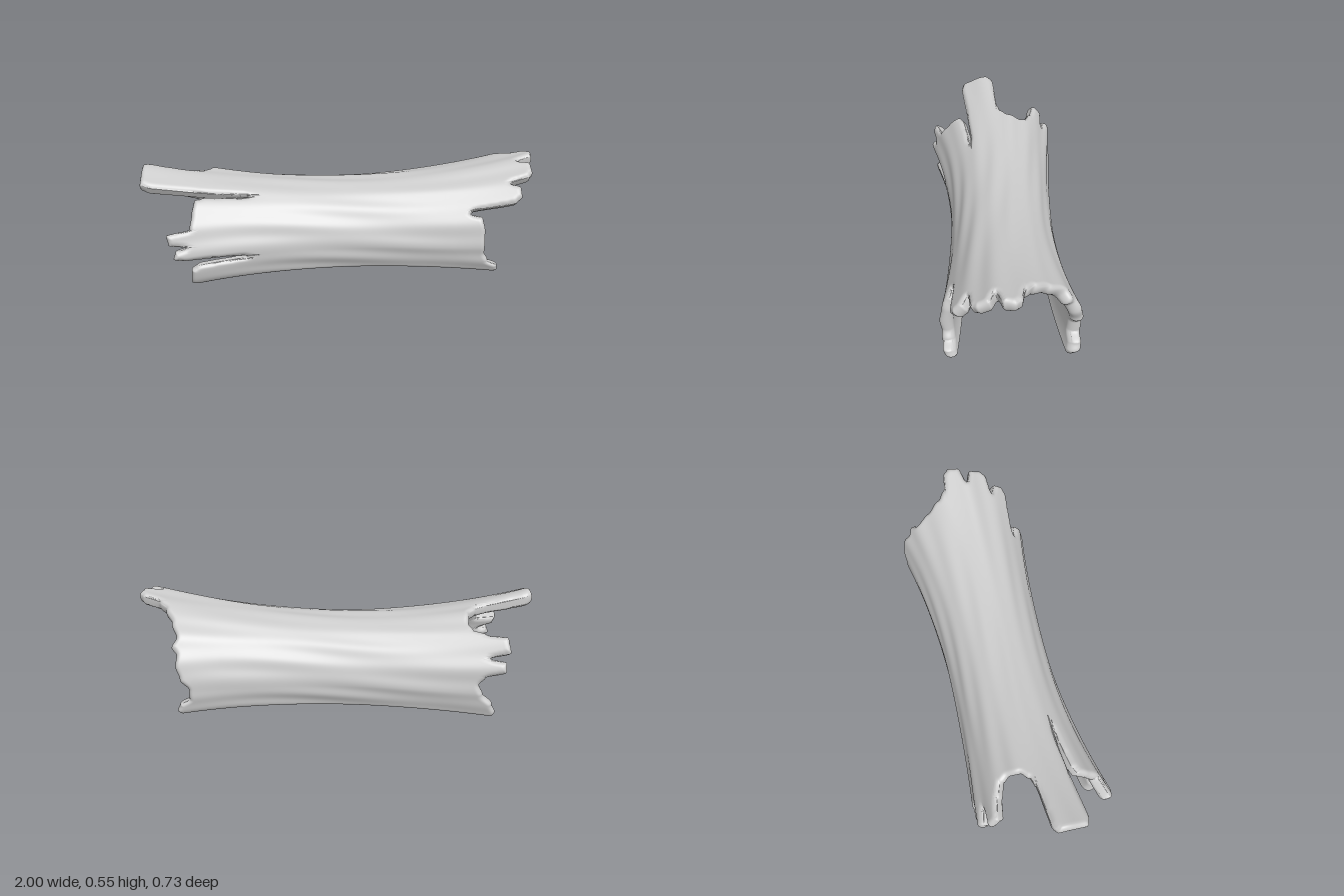
import * as THREE from 'three';
import { mergeVertices } from 'three/addons/utils/BufferGeometryUtils.js';

const COLS = 300, PHI0 = -35, PHI1 = 215;
const END_ROWS = 28, CORE_ROWS = 24, ROWS = 2 * END_ROWS + CORE_ROWS;
const CORE_NEG = -0.4, CORE_POS = 0.56;
const CZ = -0.02, CY = 0.165;

// Broken ends: [degrees around the arch from front to back, x of the edge]
const NEG_END = [[-35, -0.74], [-30, -0.765], [-12, -0.76], [-7, -0.73], [-4, -0.49], [-1, -0.49], [1, -0.8], [3, -0.84],
  [9, -0.83], [12, -0.78], [15, -0.86], [23, -0.87], [27, -0.76], [40, -0.75], [52, -0.74], [55, -0.7], [57, -0.48],
  [59, -0.48], [61, -0.97], [64, -1], [84, -1], [87, -0.98], [90, -0.76], [94, -0.71], [102, -0.675], [114, -0.67],
  [122, -0.69], [129, -0.76], [133, -0.86], [146, -0.87], [150, -0.77], [154, -0.85], [162, -0.85], [167, -0.75],
  [174, -0.72], [184, -0.74], [196, -0.79], [208, -0.81], [215, -0.8]];
const POS_END = [[-35, 0.77], [-31, 0.785], [-24, 0.78], [-18, 0.73], [-8, 0.71], [15, 0.71], [27, 0.7], [31, 0.64],
  [33, 0.65], [38, 0.87], [43, 0.9], [51, 0.9], [56, 0.85], [60, 0.95], [65, 0.97], [74, 0.97], [79, 0.91], [84, 0.99],
  [92, 1], [96, 0.98], [100, 0.89], [107, 0.85], [120, 0.81], [134, 0.78], [142, 0.8], [149, 0.775], [158, 0.78],
  [170, 0.76], [180, 0.72], [192, 0.72], [199, 0.77], [208, 0.785], [215, 0.77]];

function edgeAt(table, a) {
  let k = 0;
  while (k < table.length - 2 && a > table[k + 1][0]) k++;
  const [a0, x0] = table[k], [a1, x1] = table[k + 1];
  return THREE.MathUtils.lerp(x0, x1, THREE.MathUtils.smoothstep(a, a0, a1));
}

// Point of the waisted arch; off shifts it out of the middle of the wall
function archPoint(a, x, off) {
  const p = THREE.MathUtils.degToRad(a), x2 = x * x;
  // Bark grain on the outside only
  const grain = 0.003 * Math.sin(p * 9 + 2 * Math.sin(x * 2.3)) * Math.sin(x * 5 + p * 3)
    + 0.0015 * Math.sin(p * 19 + 1.5 * Math.sin(x * 3)) + 0.004 * x2 * Math.sin(p * 14 + 1);
  const r = off - 0.026 + grain * THREE.MathUtils.clamp(off / 0.026, 0, 1);
  const front = 0.267 + (x < 0 ? 0.17 : 0.1) * x2;
  const back = 0.264 + (x < 0 ? 0.075 : 0.145) * x2;
  const top = 0.274 + 0.118 * x2;
  // Below the middle the walls drop more steeply than a circle
  const q = a < 0 ? p * 0.8 : a > 180 ? Math.PI + (p - Math.PI) * 0.75 : p;
  const c = Math.cos(q), s = Math.sin(p);
  const z = CZ + c * ((c > 0 ? front : back) + r);
  const y = CY + s * (s > 0 ? top + r : 0.225 + 0.07 * x2);
  return [x, y, z];
}

// Rows are straight along the core and crowd towards the broken edges
function rowX(j, [neg, pos]) {
  const ease = t => Math.sin(t * Math.PI / 2);
  const { lerp } = THREE.MathUtils;
  if (j < END_ROWS) return lerp(CORE_NEG, neg, ease(1 - j / END_ROWS));
  const k = j - END_ROWS;
  if (k <= CORE_ROWS) return lerp(CORE_NEG, CORE_POS, k / CORE_ROWS);
  return lerp(CORE_POS, pos, ease((k - CORE_ROWS) / END_ROWS));
}

function barkGeometry() {
  const step = (PHI1 - PHI0) / COLS, arc = THREE.MathUtils.degToRad(step) * 0.29;
  const ends = [];
  for (let i = 0; i <= COLS; i++) {
    const a = PHI0 + i * step;
    ends.push([edgeAt(NEG_END, a), edgeAt(POS_END, a)]);
  }
  // Wall thickness rounds off towards every broken edge
  const R = 0.026, reach = Math.ceil(R / arc);
  const halfWall = (i, x) => {
    let d = Math.min(R, i * arc, (COLS - i) * arc);
    for (let k = Math.max(0, i - reach); k <= Math.min(COLS, i + reach); k++) {
      const gap = Math.max(0, Math.min(x - ends[k][0], ends[k][1] - x));
      d = Math.min(d, Math.hypot((k - i) * arc, gap));
    }
    return (0.026 + 0.012 * x * x) * Math.sqrt(Math.max(0, 1 - (1 - d / R) ** 2));
  };

  const pos = [], index = [], inner = (COLS + 1) * (ROWS + 1);
  for (const side of [1, -1]) {
    for (let i = 0; i <= COLS; i++) {
      for (let j = 0; j <= ROWS; j++) {
        const x = rowX(j, ends[i]);
        const rim = i === 0 || i === COLS || j === 0 || j === ROWS;
        pos.push(...archPoint(PHI0 + i * step, x, rim ? 0 : side * halfWall(i, x)));
      }
    }
  }
  for (let i = 0; i < COLS; i++) {
    for (let j = 0; j < ROWS; j++) {
      const a = i * (ROWS + 1) + j, b = a + 1, c = a + ROWS + 1, d = c + 1;
      index.push(a, b, c, b, d, c);
      index.push(a + inner, c + inner, b + inner, b + inner, c + inner, d + inner);
    }
  }
  let geo = new THREE.BufferGeometry();
  geo.setAttribute('position', new THREE.Float32BufferAttribute(pos, 3));
  geo.setIndex(index);
  geo = mergeVertices(geo, 1e-5);
  geo.computeVertexNormals();
  geo.computeBoundingBox();
  const box = geo.boundingBox;
  geo.translate(0, -box.min.y, -(box.min.z + box.max.z) / 2);
  return geo;
}

export function createModel() {
  const group = new THREE.Group();
  group.name = 'hollowLog';
  // Splintered half shell of a hollow log
  const shell = new THREE.Mesh(barkGeometry(), new THREE.MeshStandardMaterial({ color: 0xcccccc }));
  shell.name = 'logShell';
  group.add(shell);
  return group;
}
